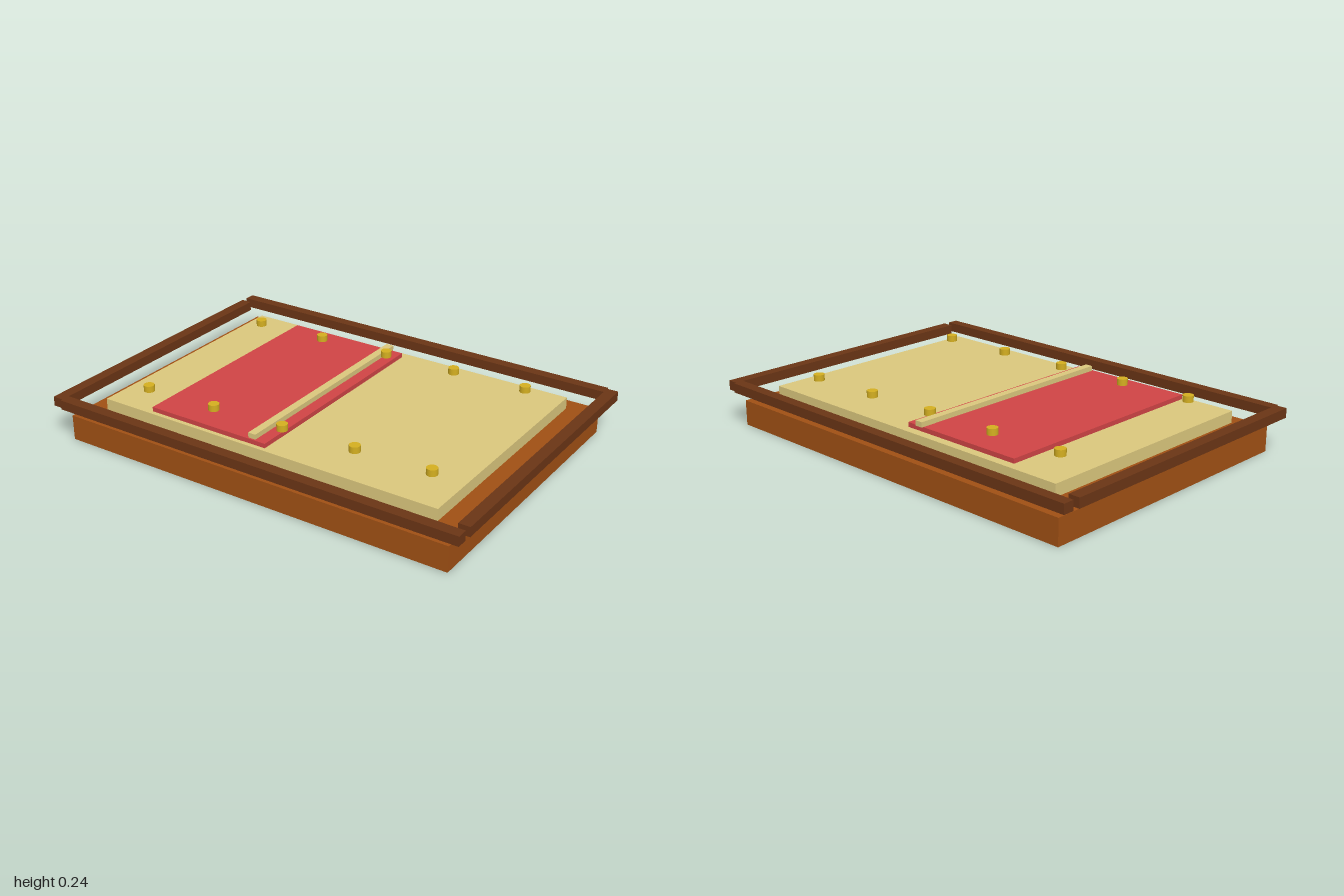
import * as THREE from 'three';

const TILT = -0.035; // every slab is turned slightly about its own centre

const paint = (color) => new THREE.MeshStandardMaterial({ color });

export function createModel() {
  const model = new THREE.Group();
  const wood = paint(0xa05014);
  const darkWood = paint(0x6b3515);
  const cream = paint(0xdbc77d);
  const red = paint(0xd04445);
  const brass = paint(0xd4af20);

  // Box from y0 to y1, centred on (x, z)
  function slab(name, material, width, depth, y0, y1, x = 0, z = 0) {
    const mesh = new THREE.Mesh(new THREE.BoxGeometry(width, y1 - y0, depth), material);
    mesh.name = name;
    mesh.position.set(x, (y0 + y1) / 2, z);
    mesh.rotation.y = TILT;
    model.add(mesh);
  }

  // Stacked boards
  slab('base', wood, 1.822, 1.3, 0, 0.112);
  slab('panel', cream, 1.61, 1.093, 0.126, 0.178);
  slab('redSheet', red, 0.577, 1.035, 0.178, 0.198, -0.277);
  slab('strip', cream, 0.035, 1.035, 0.198, 0.22, -0.057);

  // Raised frame of four separate rails
  for (const side of [-1, 1]) {
    slab(side > 0 ? 'frontRail' : 'backRail', darkWood, 1.9, 0.048, 0.155, 0.197, 0, side * 0.67);
    slab(side > 0 ? 'leftRail' : 'rightRail', darkWood, 0.05, 1.3, 0.155, 0.197, side * 0.952, 0);
  }

  // Two straight rows of brass studs
  const studGeometry = new THREE.CylinderGeometry(0.0235, 0.0235, 0.028, 16);
  for (const z of [-0.414, 0.414]) {
    for (let i = -2; i <= 2; i++) {
      const stud = new THREE.Mesh(studGeometry, brass);
      stud.name = 'stud';
      stud.position.set(i * 0.337, 0.226, z);
      model.add(stud);
    }
  }
  return model;
}
